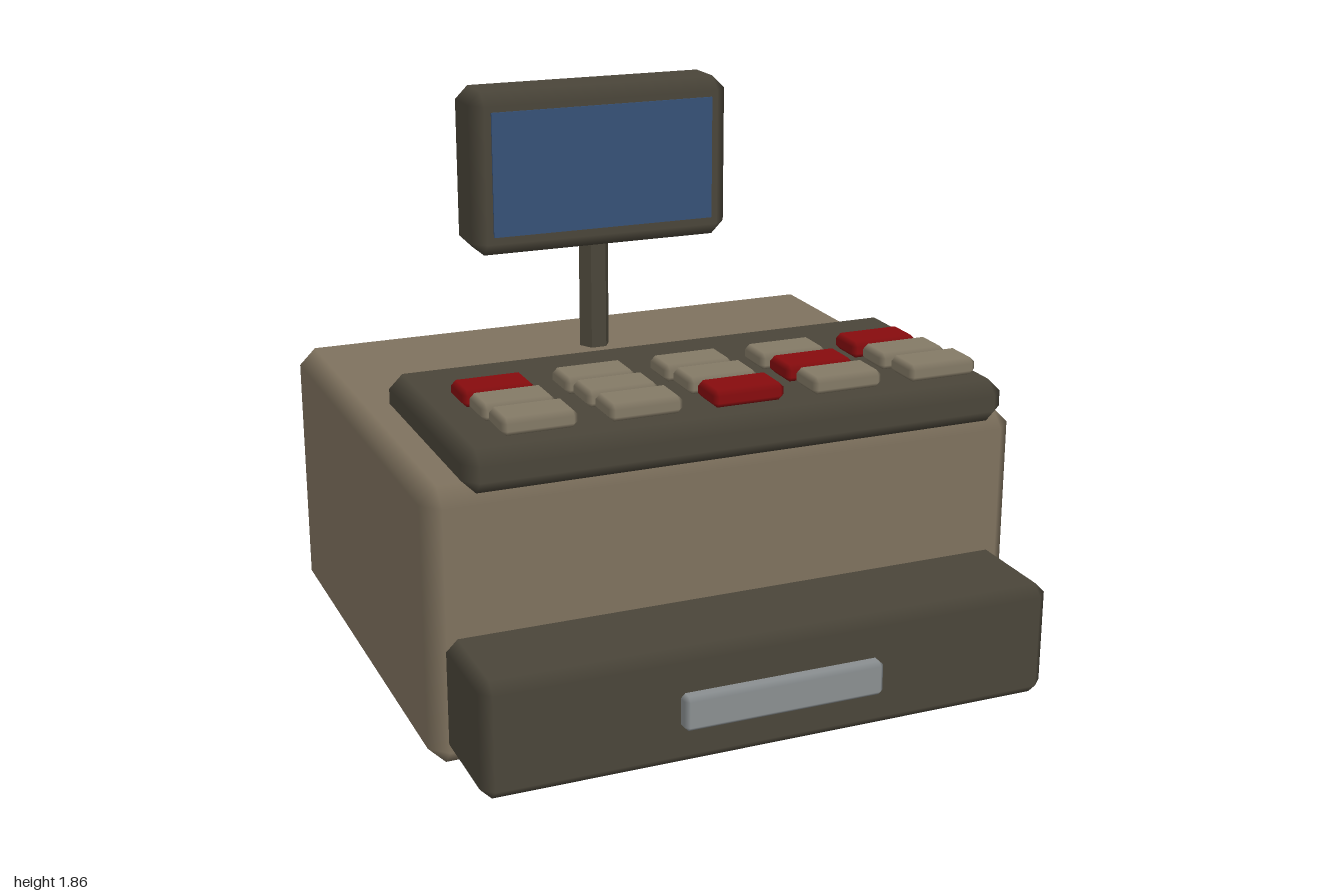
import * as THREE from 'three';
import { ConvexGeometry } from 'three/addons/geometries/ConvexGeometry.js';

const mat = (name, color, side = THREE.FrontSide) => {
  const m = new THREE.MeshStandardMaterial({ color, side });
  m.name = name;
  return m;
};

// Box with single 45 degree chamfers: flat faces, softly shaded chamfers
function chamferBox(w, h, d, c) {
  const half = [w / 2, h / 2, d / 2];
  const points = [];
  for (let axis = 0; axis < 3; axis++)
    for (const sx of [-1, 1]) for (const sy of [-1, 1]) for (const sz of [-1, 1]) {
      const p = [sx, sy, sz].map((s, i) => s * (half[i] - (i === axis ? 0 : c)));
      points.push(new THREE.Vector3(...p));
    }
  const geo = new ConvexGeometry(points);
  const pos = geo.attributes.position;
  const normal = geo.attributes.normal;
  // each corner takes the normal of the flat face it belongs to
  for (let i = 0; i < pos.count; i++) {
    const p = [pos.getX(i), pos.getY(i), pos.getZ(i)];
    normal.setXYZ(i, ...p.map((v, k) => (Math.abs(v) > half[k] - c / 2 ? Math.sign(v) : 0)));
  }
  return geo;
}

export function createModel() {
  const model = new THREE.Group();
  model.name = 'cashRegister';

  const beige = mat('beige casing', 0x80735f);
  const dark = mat('dark plastic', 0x4b463a);
  const keyBeige = mat('beige key', 0x857b67);
  const red = mat('red key', 0x880c0e);
  const blue = mat('blue screen', 0x375277);
  const silver = mat('silver handle', 0x8b9092);

  const add = (name, geometry, material, x, y, z, parent = model) => {
    const mesh = new THREE.Mesh(geometry, material);
    mesh.name = name;
    mesh.position.set(x, y, z);
    parent.add(mesh);
    return mesh;
  };
  // chamfered part given by its x half width and its y and z ranges
  const block = (name, material, hx, [y0, y1], [z0, z1], c) =>
    add(name, chamferBox(hx * 2, y1 - y0, z1 - z0, c), material, 0, (y0 + y1) / 2, (z0 + z1) / 2);

  // casing, open cash drawer and its handle
  block('body', beige, 1, [0, 0.905], [-1, 0.615], 0.056);
  block('drawer', dark, 0.947, [0.05, 0.43], [0.3, 0.95], 0.036);
  block('drawerHandle', silver, 0.332, [0.185, 0.297], [0.945, 1], 0.014);

  // keypad slab with three stepped rows of keys
  block('keypad', dark, 0.9, [0.905, 1.045], [-0.145, 0.71], 0.045);
  const keys = new THREE.Group();
  keys.name = 'keys';
  model.add(keys);
  const keyGeo = chamferBox(0.236, 0.055, 0.14, 0.016);
  const redKeys = [[0, 4], [3], [2]];
  redKeys.forEach((reds, row) => {
    for (let col = 0; col < 5; col++)
      add('key', keyGeo, reds.includes(col) ? red : keyBeige,
        (col - 2) * 0.333, 1.077 + row * 0.015, 0.258 + row * 0.19, keys);
  });

  // six-sided post carrying the display
  const postGeo = new THREE.CylinderGeometry(0.055, 0.055, 0.46, 6).rotateY(Math.PI / 6).toNonIndexed();
  postGeo.computeVertexNormals();
  add('displayPost', postGeo, dark, 0, 1.1, -0.617);
  block('displayHousing', dark, 0.472, [1.288, 1.855], [-0.735, -0.505], 0.045);
  add('screen', new THREE.BoxGeometry(0.81, 0.43, 0.008), blue, 0, 1.574, -0.503);

  return model;
}
